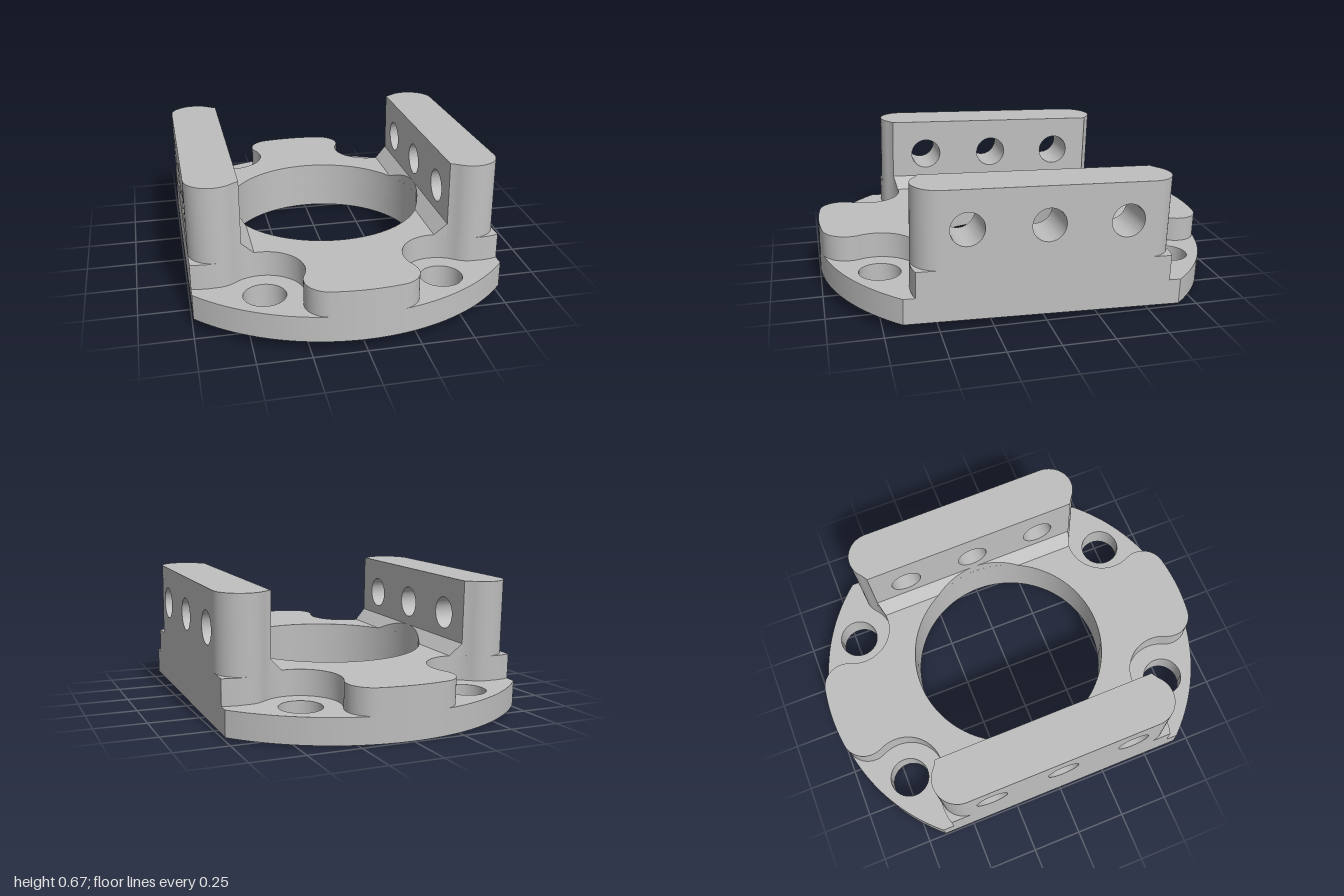
import * as THREE from 'three';
import { toCreasedNormals } from 'three/addons/utils/BufferGeometryUtils.js';

const R = 0.996, W = 0.745, BORE = 0.5;             // flange radius, half width, bore radius
const LEDGE = 0.125, DECK = 0.25, TOP = 0.622;      // heights
const BOLT = { x: 0.42, y: 0.73 }, POCKET = 0.187;  // bolt hole centre, pocket radius
const WALL_R = 0.125, NOSE_R = 0.12;                // rounded wall end, rounded deck nose
const rad = THREE.MathUtils.degToRad;
const v = (x, y) => new THREE.Vector2(x, y);

// points on an arc, angles in degrees
function arc(cx, cy, r, a0, a1, n) {
  return Array.from({ length: n + 1 }, (_, i) => {
    const a = rad(a0 + (a1 - a0) * i / n);
    return v(cx + r * Math.cos(a), cy + r * Math.sin(a));
  });
}
// centre of a circle touching the bolt pocket from outside
function touching(angle, r) {
  const d = POCKET + r;
  return v(BOLT.x + d * Math.cos(rad(angle)), BOLT.y + d * Math.sin(rad(angle)));
}
const wallC = touching(-50, WALL_R), noseC = touching(154, NOSE_R);

// mirror one quadrant into a closed outline
function fourWay(q) {
  const half = [...q, ...q.slice(0, -1).reverse().map(p => v(-p.x, p.y))];
  return new THREE.Shape([...half, ...half.slice().reverse().map(p => v(p.x, -p.y))]);
}
function circleHole(shape, x, y, r) {
  const path = new THREE.Path();
  path.absarc(x, y, r, 0, Math.PI * 2, true);
  shape.holes.push(path);
}
function extrude(shape, depth) {
  return new THREE.ExtrudeGeometry(shape, { depth, bevelEnabled: false, curveSegments: 48 });
}
// plan outline raised from y0 to y1
function slab(shape, y0, y1) {
  return toCreasedNormals(extrude(shape, y1 - y0).rotateX(-Math.PI / 2).translate(0, y0, 0), 0.5);
}

// sloped fillet strip between deck and wall, cut away by the bore
function chamferGeometry() {
  const x0 = 0.44, n = 80, pos = [];
  const end = x => BOLT.y - Math.sqrt(POCKET ** 2 - (x - BOLT.x) ** 2);
  const ring = s => {
    const z = s * end(x0);
    const x = Math.max(x0, Math.sqrt(Math.max(0, BORE * BORE - z * z)));
    return [[x, DECK, z], [x, DECK + x - x0, z], [BORE, DECK + BORE - x0, s * end(BORE)]];
  };
  for (let i = 0; i < n; i++) {
    const a = ring(-1 + 2 * i / n), b = ring(-1 + 2 * (i + 1) / n);
    for (let k = 0; k < 2; k++) {
      pos.push(...a[k], ...b[k], ...a[k + 1], ...b[k], ...b[k + 1], ...a[k + 1]);
    }
  }
  for (const s of [1, -1]) {
    const [a, , c] = ring(s), d = [BORE, DECK, c[2]];
    pos.push(...a, ...(s > 0 ? d : c), ...(s > 0 ? c : d));
  }
  const g = new THREE.BufferGeometry();
  g.setAttribute('position', new THREE.Float32BufferAttribute(pos, 3));
  g.computeVertexNormals();
  return toCreasedNormals(g, 0.4);
}

export function createModel() {
  const model = new THREE.Group();
  model.name = 'flangeBracket';
  const metal = new THREE.MeshStandardMaterial({ color: 0xbfbfbf });
  metal.name = 'grey metal';
  const body = new THREE.Group();
  body.name = 'body';
  model.add(body);
  const add = (name, geometry, parent = body) => {
    const mesh = new THREE.Mesh(geometry, metal);
    mesh.name = name;
    parent.add(mesh);
    return mesh;
  };

  // base flange: disc with two flats, bore and four bolt holes
  const corner = THREE.MathUtils.radToDeg(Math.acos(W / R));
  const flange = fourWay(arc(0, 0, R, corner, 90, 24));
  circleHole(flange, 0, 0, BORE);
  for (const sx of [1, -1]) for (const sy of [1, -1]) circleHole(flange, sx * BOLT.x, sy * BOLT.y, 0.1);
  add('baseFlange', slab(flange, 0, LEDGE));

  // raised deck with a pocket round each bolt hole
  const noseEnd = THREE.MathUtils.radToDeg(Math.atan2(noseC.y, noseC.x));
  const deck = fourWay([
    v(W, 0.605), v(0.71, 0.614), v(0.67, 0.618),
    ...arc(wallC.x, wallC.y, WALL_R, 90, 130, 8),
    ...arc(BOLT.x, BOLT.y, POCKET, -50, -206, 28).slice(1),
    ...arc(noseC.x, noseC.y, NOSE_R, -26, noseEnd, 18).slice(1),
    ...arc(0, 0, R, noseEnd, 90, 6).slice(1),
  ]);
  circleHole(deck, 0, 0, BORE);
  add('deck', slab(deck, LEDGE, DECK));

  // side walls: drilled middle and rounded ends
  const zMid = wallC.y;
  const inner = -THREE.MathUtils.radToDeg(Math.acos((BORE - BOLT.x) / POCKET));
  const endPoints = [
    v(BORE, zMid), ...arc(wallC.x, wallC.y, WALL_R, 0, 130, 24),
    ...arc(BOLT.x, BOLT.y, POCKET, -50, inner, 4).slice(1),
  ];
  const middle = new THREE.Shape([v(-zMid, DECK), v(zMid, DECK), v(zMid, TOP), v(-zMid, TOP)]);
  for (const z of [-0.375, 0, 0.375]) circleHole(middle, z, 0.437, 0.08);
  const wallX = wallC.x + WALL_R;
  const middleGeometry = toCreasedNormals(
    extrude(middle, wallX - BORE).rotateY(Math.PI / 2).translate(BORE, 0, 0), 0.5);
  const ends = [1, -1].map(s =>
    slab(new THREE.Shape(endPoints.map(p => v(p.x, s * p.y))), DECK, TOP));
  const chamfer = chamferGeometry();
  for (const side of ['left', 'right']) {
    const wall = new THREE.Group();
    wall.name = side + 'Wall';
    if (side === 'right') wall.rotation.y = Math.PI;
    add('drilledPlate', middleGeometry, wall);
    ends.forEach(g => add('roundedEnd', g, wall));
    add('chamfer', chamfer, wall);
    body.add(wall);
  }

  // slight tilt, raised at the front
  body.rotation.x = -0.031;
  body.position.set(0, 0.031, 0.004);
  return model;
}
